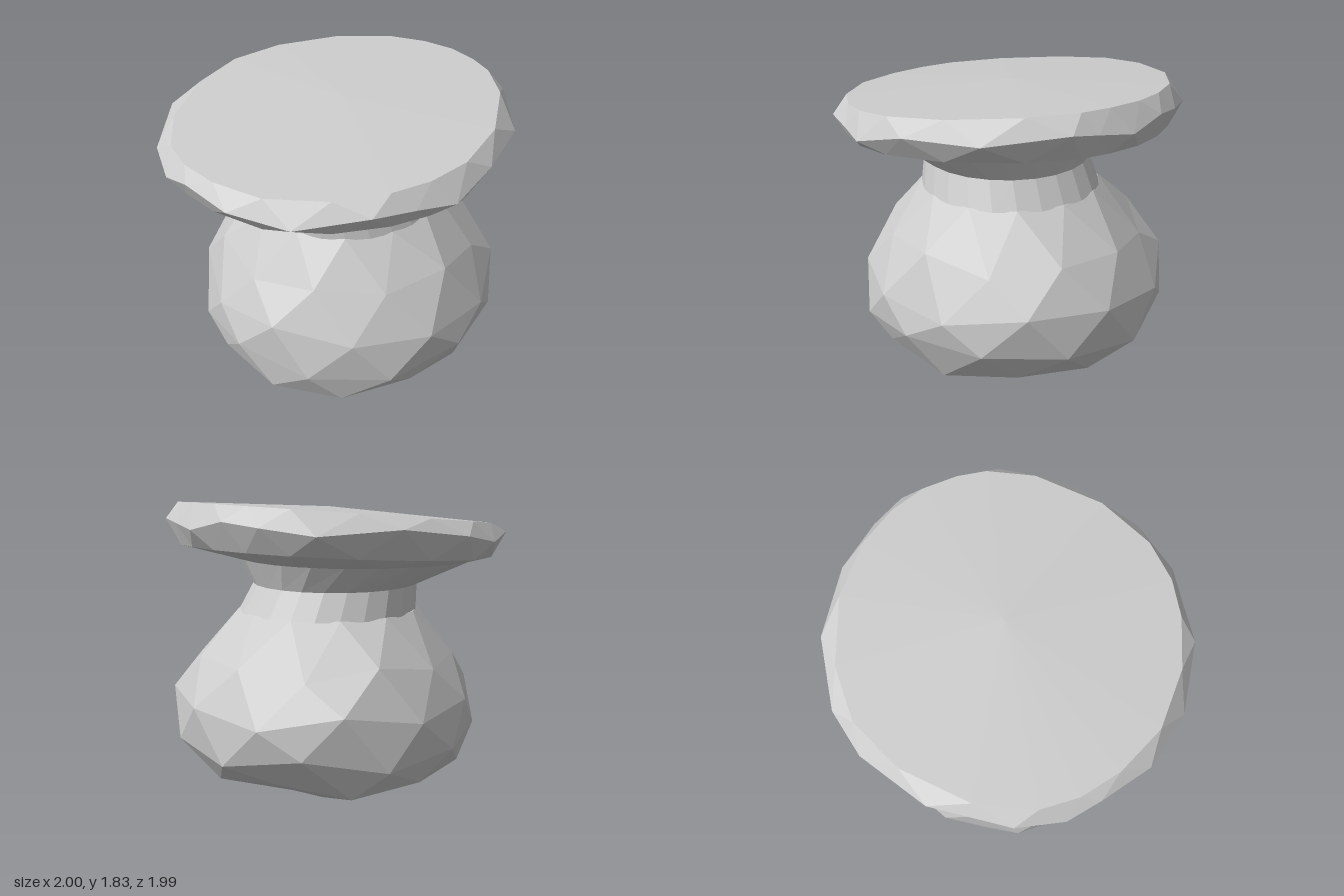
import * as THREE from 'three';

const material = new THREE.MeshStandardMaterial({ color: 0xcccccc, flatShading: true });

// Skins a stack of equal-length rings, listed bottom to top, with flat triangles
function loft(name, rings) {
  const pos = [];
  const tri = (a, b, c) => pos.push(...a, ...b, ...c);
  for (let r = 0; r < rings.length - 1; r++) {
    const a = rings[r], b = rings[r + 1], n = a.length;
    for (let i = 0; i < n; i++) {
      const j = (i + 1) % n;
      tri(a[i], b[i], a[j]);
      tri(a[j], b[i], b[j]);
    }
  }
  const geometry = new THREE.BufferGeometry();
  geometry.setAttribute('position', new THREE.Float32BufferAttribute(pos, 3));
  geometry.computeVertexNormals();
  const mesh = new THREE.Mesh(geometry, material);
  mesh.name = name;
  return mesh;
}

// Elliptical ring fitted between x and z limits, with an optional uneven height
function ring(n, phase, [y, x0, x1, z0, z1], wobble = 0) {
  return Array.from({ length: n }, (_, i) => {
    const t = ((i + phase) / n) * Math.PI * 2;
    return [
      (x0 + x1) / 2 + ((x1 - x0) / 2) * Math.cos(t),
      y + wobble * Math.sin(i * 2.4 + phase * 5),
      (z0 + z1) / 2 + ((z1 - z0) / 2) * Math.sin(t),
    ];
  });
}

// Rounded boulder-like body: height, x limits, z limits, unevenness
function body() {
  const sections = [
    [0, -0.12, -0.12, -0.01, -0.01, 0],
    [0.06, -0.34, 0.41, -0.34, 0.35, 0.01],
    [0.27, -0.78, 0.85, -0.84, 0.82, 0.04],
    [0.45, -0.84, 1.0, -0.96, 0.88, 0.05],
    [0.69, -0.81, 1.0, -0.96, 0.86, 0.05],
    [0.92, -0.7, 0.86, -0.81, 0.71, 0.04],
    [1.18, -0.49, 0.6, -0.56, 0.51, 0],
    [1.18, 0.05, 0.05, 0, 0, 0],
  ];
  return loft('body', sections.map((s, k) => ring(12, k / 2, s, s[5])));
}

// Pinched neck flaring out into the cap
function neck() {
  return loft('neck', [
    [1.17, -0.48, 0.6, -0.56, 0.51],
    [1.33, -0.49, 0.51, -0.5, 0.49],
    [1.49, -0.91, 0.59, -0.64, 0.78],
  ].map((s) => ring(24, 0, s)));
}

// Tilted faceted cap built around an irregular outline (x, z)
function cap() {
  const outline = [
    [1, 0.19], [0.81, 0.58], [0.61, 0.82], [0.4, 0.9], [0.18, 0.99],
    [-0.22, 0.99], [-0.55, 0.85], [-0.78, 0.62], [-0.91, 0.46], [-1, 0.2],
    [-0.98, -0.26], [-0.78, -0.66], [-0.58, -0.85], [-0.2, -1], [0.24, -1],
    [0.52, -0.88], [0.7, -0.76], [0.86, -0.59], [0.94, -0.4], [1, -0.26],
  ];
  const n = outline.length;
  const between = (i, j, s) => {
    const a = outline[(i + n) % n], b = outline[(j + n) % n];
    return [((a[0] + b[0]) / 2) * s, ((a[1] + b[1]) / 2) * s];
  };
  const opening = outline.map((_, i) => {
    const [x, z] = between(i - 1, i, 1);
    const t = Math.atan2(z, x);
    return [-0.16 + 0.75 * Math.cos(t), 1.48, 0.07 + 0.71 * Math.sin(t)];
  });
  const lower = outline.map((_, i) => {
    const [x, z] = between(i - 1, i, 0.95);
    return [x, 1.54 + 0.05 * x - 0.03 * z, z];
  });
  const rim = outline.map(([x, z], i) =>
    [x, 1.65 + 0.05 * x - 0.055 * z + 0.03 * Math.sin(i * 2.1), z]);
  const upper = outline.map((_, i) => {
    const [x, z] = between(i, i + 1, 0.94);
    return [x, 1.745 + 0.075 * x - 0.055 * z, z];
  });
  const centre = outline.map(() => [0.05, 1.785, -0.05]);
  return loft('cap', [opening, lower, rim, upper, centre]);
}

export function createModel() {
  const model = new THREE.Group();
  model.name = 'mushroomStone';
  model.add(body(), neck(), cap());
  return model;
}
